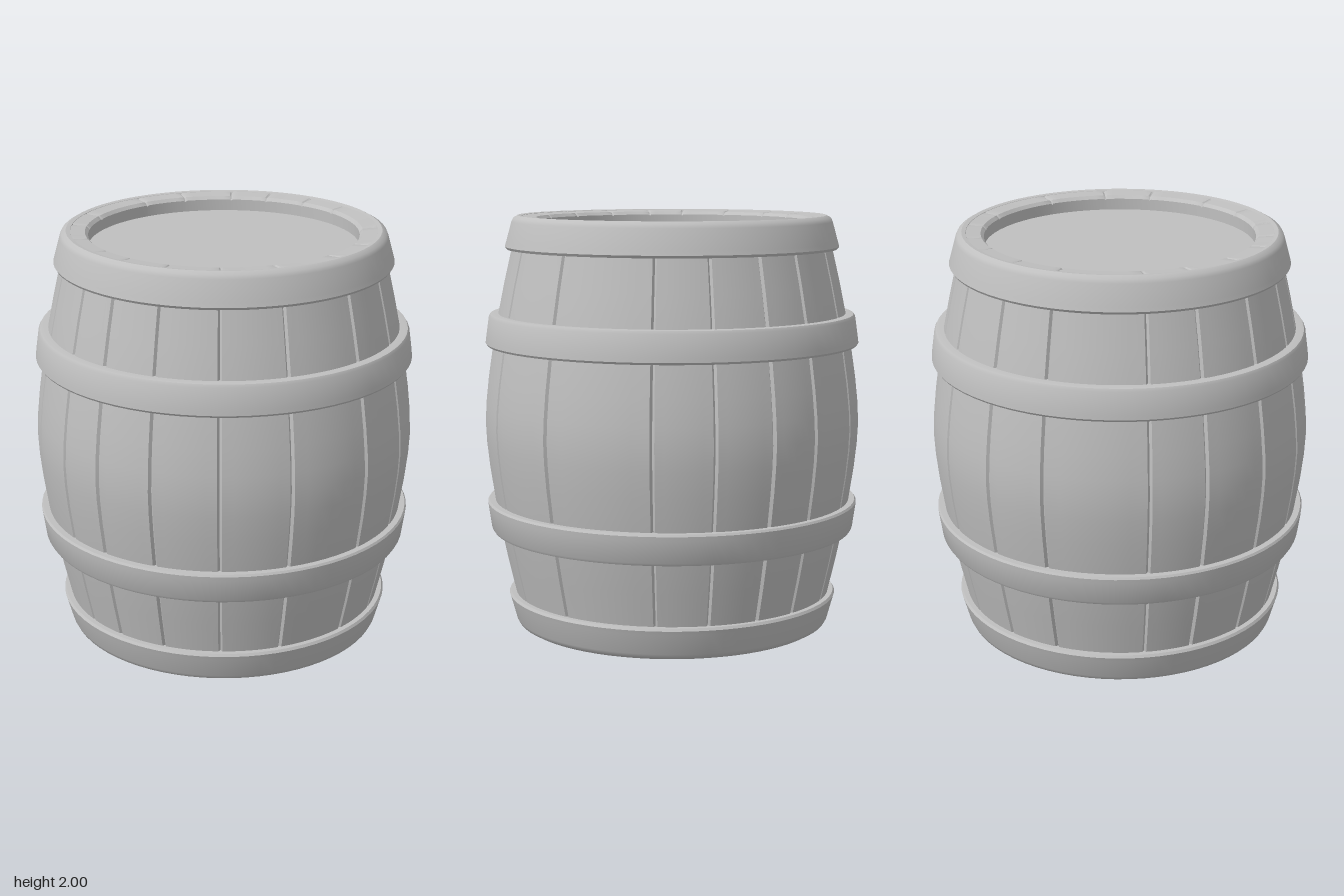
import * as THREE from 'three';
import { toCreasedNormals } from 'three/addons/utils/BufferGeometryUtils.js';

const barrelGrey = new THREE.MeshStandardMaterial({ color: 0xbfbfbf });
barrelGrey.name = 'barrelGrey';

const points = (list) => list.map(([r, y]) => new THREE.Vector2(r, y));
// Mirror a profile about the barrel's middle, keeping its winding
const mirrorProfile = (list) => list.map(([r, y]) => [r, 2 - y]).reverse();

// Stave cross-section: inside the rim, round the bulge, back inside the rim
const lowerHalf = [
  [0.64, 0.12], [0.64, 0.025], [0.655, 0.01], [0.73, 0.004], [0.745, 0.015],
  [0.775, 0.16], [0.812, 0.32], [0.845, 0.48], [0.87, 0.62], [0.894, 0.78], [0.907, 0.9],
];
const staveProfile = [...lowerHalf, [0.912, 1], ...mirrorProfile(lowerHalf)];

// Seam angles in degrees around the barrel, from the front towards the left
const seams = [13, 33, 58.5, 92, 110, 128, 144, 165, 184, 215, 232, 253, 273, 288, 306, 326, 347, 373];

// One stave: a slice of the lathe whose two edges sink into a narrow groove
function makeStave(startDeg, endDeg) {
  const start = THREE.MathUtils.degToRad(startDeg);
  const length = THREE.MathUtils.degToRad(endDeg - startDeg);
  const columns = 8, bevel = 0.012;
  const geometry = new THREE.LatheGeometry(points(staveProfile), columns, start, length);
  const position = geometry.attributes.position;
  for (let i = 0; i < position.count; i++) {
    const column = Math.floor(i / staveProfile.length);
    let [r, y] = staveProfile[i % staveProfile.length];
    let phi = start + bevel + (length - 2 * bevel) * (column - 1) / (columns - 2);
    if (column === 0 || column === columns) {
      phi = column === 0 ? start : start + length;
      if (r > 0.7) r -= 0.014;
      if (y < 0.05) y += 0.006;
      if (y > 1.95) y -= 0.006;
    }
    position.setXYZ(i, r * Math.sin(phi), y, r * Math.cos(phi));
  }
  return toCreasedNormals(geometry, 0.6);
}

// Hoop cross-sections, upper half of the barrel, listed bottom to top
const topHoop = [
  [0.755, 1.84], [0.8, 1.84], [0.808, 1.852], [0.802, 1.872], [0.775, 1.97],
  [0.766, 1.988], [0.745, 2], [0.725, 1.997], [0.715, 1.98],
];
const middleHoop = [
  [0.85, 1.38], [0.9, 1.38], [0.907, 1.39], [0.905, 1.41], [0.89, 1.515],
  [0.882, 1.528], [0.872, 1.53], [0.82, 1.53],
];

export function createModel() {
  const barrel = new THREE.Group();
  barrel.name = 'barrel';
  const add = (name, geometry, parent = barrel) => {
    const mesh = new THREE.Mesh(geometry, barrelGrey);
    mesh.name = name;
    parent.add(mesh);
    return mesh;
  };

  // Staves
  const staves = new THREE.Group();
  staves.name = 'staves';
  barrel.add(staves);
  for (let i = 0; i < seams.length - 1; i++) add(`stave${i + 1}`, makeStave(seams[i], seams[i + 1]), staves);

  // Hoops
  const hoops = {
    bottomHoop: mirrorProfile(topHoop),
    lowerHoop: mirrorProfile(middleHoop),
    upperHoop: middleHoop,
    topHoop,
  };
  for (const [name, profile] of Object.entries(hoops)) {
    add(name, toCreasedNormals(new THREE.LatheGeometry(points(profile), 72), 0.6));
  }

  // Recessed heads closing both ends
  for (const [name, y] of [['bottomHead', 0.1], ['topHead', 1.9]]) {
    add(name, new THREE.CylinderGeometry(0.66, 0.66, 0.04, 48)).position.y = y;
  }
  return barrel;
}
